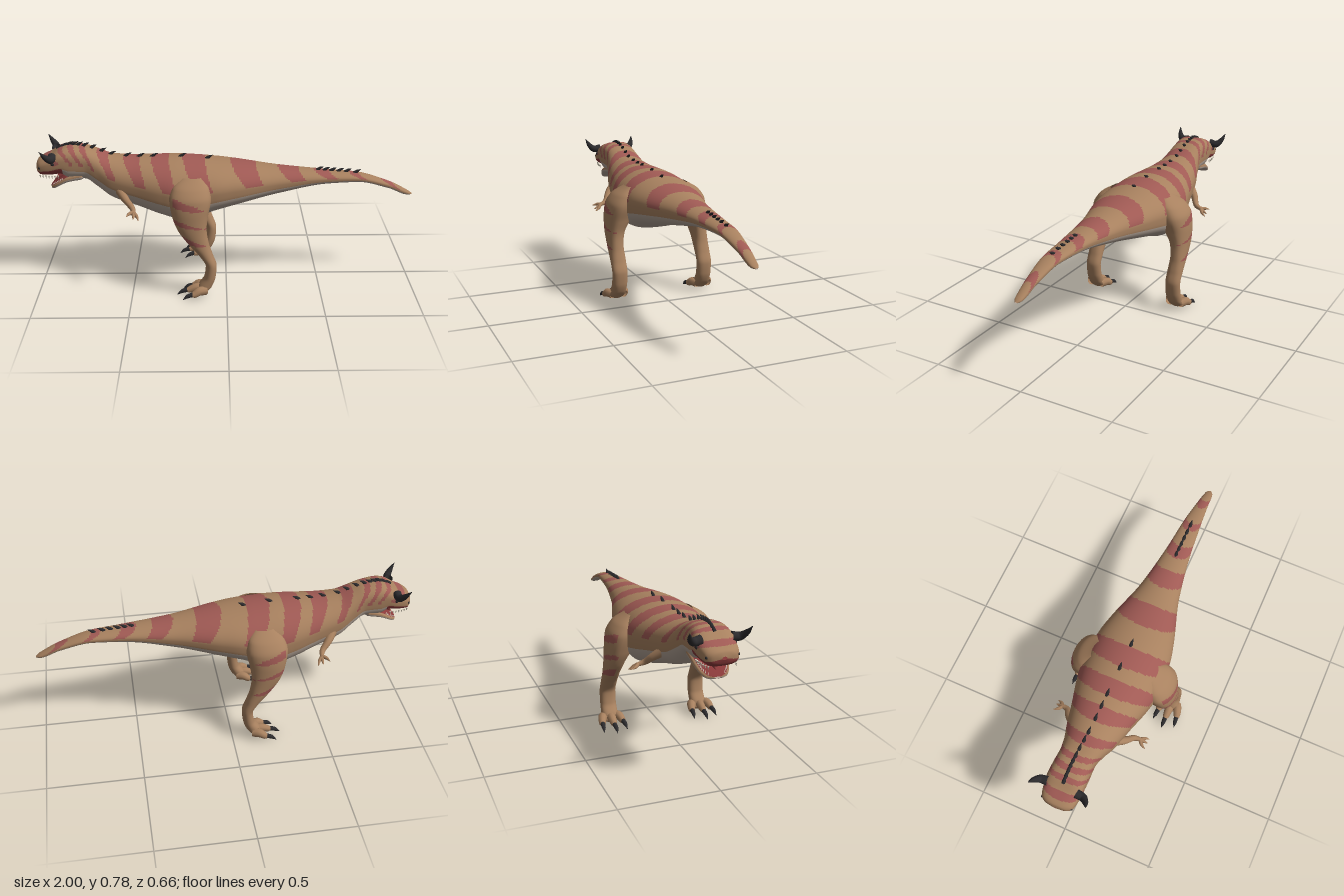
import * as THREE from 'three';

const mat = (color) => new THREE.MeshStandardMaterial({ color, roughness: 0.8, side: THREE.DoubleSide });
const MATS = {
  hide: mat(0xa8815f), belly: mat(0xb3a396), stripes: mat(0xa05a54),
  mouth: mat(0x8a3a3a), horn: mat(0x2c2b2d), teeth: mat(0xe0d8c4),
};

// Monotone interpolation through table rows [key, a, b, ...]
function sample(table, key) {
  let i = 0;
  while (i < table.length - 2 && key > table[i + 1][0]) i++;
  const slope = (k, c) => (table[k + 1][c] - table[k][c]) / (table[k + 1][0] - table[k][0]);
  const tangent = (k, c) => {
    if (k === 0) return slope(0, c);
    if (k === table.length - 1) return slope(k - 1, c);
    const p = slope(k - 1, c), q = slope(k, c);
    return p * q <= 0 ? 0 : (2 * p * q) / (p + q);
  };
  const h = table[i + 1][0] - table[i][0];
  const t = Math.min(1, Math.max(0, (key - table[i][0]) / h)), t2 = t * t, t3 = t2 * t;
  return table[i].slice(1).map((v, n) => {
    const c = n + 1;
    return (2 * t3 - 3 * t2 + 1) * v + (t3 - 2 * t2 + t) * h * tangent(i, c)
      + (3 * t2 - 2 * t3) * table[i + 1][c] + (t3 - t2) * h * tangent(i + 1, c);
  });
}

// Closed skin over rings; each face goes to the colour zone the rule picks
function loft(name, rows, cols, point, zone) {
  const pos = [], index = [], zones = {};
  for (let i = 0; i <= rows; i++)
    for (let j = 0; j < cols; j++) pos.push(...point(i / rows, (j / cols) * Math.PI * 2));
  for (let i = 0; i < rows; i++) {
    for (let j = 0; j < cols; j++) {
      const a = i * cols + j, b = i * cols + ((j + 1) % cols), c = a + cols, d = b + cols;
      const faces = [a, c, b, b, c, d];
      index.push(...faces);
      const mid = [0, 1, 2].map((k) => (pos[a * 3 + k] + pos[b * 3 + k] + pos[c * 3 + k] + pos[d * 3 + k]) / 4);
      const z = zone(mid, ((j + 0.5) / cols) * Math.PI * 2);
      (zones[z] ??= []).push(...faces);
    }
  }
  const full = new THREE.BufferGeometry();
  full.setAttribute('position', new THREE.Float32BufferAttribute(pos, 3));
  full.setIndex(index);
  full.computeVertexNormals();
  const group = new THREE.Group();
  group.name = name;
  for (const z in zones) {
    const g = full.clone();
    g.setIndex(zones[z]);
    group.add(named(new THREE.Mesh(g, MATS[z]), name + ' ' + z));
  }
  return group;
}

function named(obj, name) { obj.name = name; return obj; }

// Tube along points whose radius follows a list
function taper(name, points, radii, material, sides = 10) {
  const n = 16, curve = new THREE.CatmullRomCurve3(points.map((p) => new THREE.Vector3(...p)));
  const g = new THREE.TubeGeometry(curve, n, 1, sides);
  const P = g.attributes.position, N = g.attributes.normal;
  for (let k = 0; k < P.count; k++) {
    const t = Math.floor(k / (sides + 1)) / n, c = curve.getPointAt(t);
    const f = t * (radii.length - 1), i = Math.min(radii.length - 2, Math.floor(f));
    const r = radii[i] + (radii[i + 1] - radii[i]) * (f - i);
    P.setXYZ(k, c.x + r * N.getX(k), c.y + r * N.getY(k), c.z + r * N.getZ(k));
  }
  g.computeBoundingSphere();
  return named(new THREE.Mesh(g, material), name);
}

// x, top, bottom, half width, squareness of the upper half
const BODY = [
  [-1, 0.66, 0.645, 0.012, 2], [-0.993, 0.68, 0.622, 0.055, 2.4], [-0.97, 0.695, 0.608, 0.083, 2.8],
  [-0.92, 0.718, 0.608, 0.094, 3], [-0.87, 0.748, 0.612, 0.098, 3], [-0.82, 0.76, 0.585, 0.097, 3],
  [-0.74, 0.75, 0.582, 0.094, 2.8], [-0.68, 0.73, 0.542, 0.105, 2.4], [-0.6, 0.703, 0.485, 0.132, 2],
  [-0.47, 0.692, 0.442, 0.165, 2], [-0.34, 0.692, 0.397, 0.2, 2], [-0.27, 0.692, 0.38, 0.212, 2],
  [-0.15, 0.685, 0.388, 0.213, 2], [-0.06, 0.676, 0.42, 0.205, 2], [0.04, 0.665, 0.446, 0.182, 2],
  [0.28, 0.633, 0.5, 0.11, 2], [0.54, 0.608, 0.545, 0.066, 2], [0.7, 0.594, 0.55, 0.05, 2],
  [0.87, 0.545, 0.51, 0.032, 2], [0.98, 0.49, 0.47, 0.02, 2], [1, 0.476, 0.47, 0.006, 2],
];
const JAW = [
  [-0.93, 0.54, 0.532, 0.015, 3], [-0.92, 0.55, 0.527, 0.05, 3], [-0.88, 0.58, 0.547, 0.078, 3],
  [-0.83, 0.612, 0.57, 0.088, 3], [-0.76, 0.63, 0.582, 0.085, 3], [-0.73, 0.61, 0.6, 0.03, 3],
];
// y, front x, back x, inner z, outer z
const LEG = [
  [0.015, -0.14, -0.115, 0.235, 0.275], [0.03, -0.16, -0.1, 0.21, 0.3], [0.06, -0.15, -0.075, 0.21, 0.297],
  [0.11, -0.118, -0.058, 0.21, 0.295], [0.17, -0.11, -0.053, 0.21, 0.295], [0.235, -0.145, -0.073, 0.21, 0.295],
  [0.3, -0.2, -0.093, 0.21, 0.295], [0.38, -0.256, -0.104, 0.195, 0.296], [0.45, -0.283, -0.095, 0.16, 0.295],
  [0.53, -0.296, -0.08, 0.13, 0.285], [0.585, -0.28, -0.09, 0.12, 0.25], [0.63, -0.23, -0.13, 0.13, 0.18],
];
// Bands across the back: centre, half width
const STRIPES = [
  [-0.945, 0.02], [-0.87, 0.013], [-0.815, 0.016], [-0.755, 0.016], [-0.65, 0.03], [-0.5, 0.042],
  [-0.35, 0.048], [-0.17, 0.06], [0.09, 0.066], [0.33, 0.055], [0.51, 0.04], [0.68, 0.025], [0.86, 0.03],
];

const power = (v, e) => Math.sign(v) * Math.pow(Math.abs(v), e);
const section = (table, x, a) => {
  const [top, bottom, w, n] = sample(table, x);
  const e = 2 / (Math.sin(a) > 0 ? n : 2.8);
  return [x, (top + bottom) / 2 + ((top - bottom) / 2) * power(Math.sin(a), e), w * power(Math.cos(a), e)];
};

function bodyZone([x, y], a) {
  if (Math.sin(a) < -0.2) return x < -0.855 ? 'mouth' : 'belly';
  const [top, bottom] = sample(BODY, x), d = (top - y) / (top - bottom);
  const hit = STRIPES.some(([c, w]) => Math.abs(x - c - 0.13 * d) < w * (1 - 0.7 * d));
  return d < 0.46 && hit ? 'stripes' : 'hide';
}

function legZone(s) {
  return ([x, y, z]) => {
    const rise = y + 0.25 * (x + 0.2);
    const hit = [[0.51, 0.022], [0.41, 0.013], [0.32, 0.022]].some(([c, w]) => Math.abs(rise - c) < w * Math.min(1, (-0.1 - x) * 9));
    return s * z > 0.255 && hit ? 'stripes' : 'hide';
  };
}

function buildLeg(s) {
  const g = named(new THREE.Group(), s > 0 ? 'leftLeg' : 'rightLeg');
  g.add(loft('legSkin', 90, 32, (u, a) => {
    const y = 0.015 + 0.615 * u, [f, b, zi, zo] = sample(LEG, y);
    const x = (f + b) / 2 + ((b - f) / 2) * Math.cos(a);
    return [x, y, s * (zi + zo) / 2 + ((zo - zi) / 2) * power(Math.sin(a), 0.8)];
  }, legZone(s)));
  // three splayed toes with claws
  for (const k of [-1, 0, 1]) {
    const x = k ? 0.03 : 0, z = (d) => s * (0.255 + k * d);
    g.add(taper('toe', [[-0.11, 0.042, z(0.03)], [-0.16 + x / 2, 0.044, z(0.047)], [-0.2 + x, 0.03, z(0.055)], [-0.228 + x, 0.02, z(0.058)]],
      [0.024, 0.025, 0.022, 0.017, 0], MATS.hide));
    g.add(taper('claw', [[-0.208 + x, 0.03, z(0.056)], [-0.236 + x, 0.022, z(0.06)], [-0.262 + x, 0.002, z(0.064)]],
      [0.013, 0.011, 0.001], MATS.horn, 8));
  }
  return g;
}

function buildArm(s) {
  const g = named(new THREE.Group(), s > 0 ? 'leftArm' : 'rightArm');
  g.add(taper('arm', [[-0.56, 0.55, s * 0.115], [-0.525, 0.51, s * 0.16], [-0.49, 0.475, s * 0.19], [-0.478, 0.46, s * 0.232]],
    [0.026, 0.023, 0.018, 0.015, 0.008], MATS.hide));
  for (const [dx, dy] of [[-0.035, 0], [0, -0.015], [0.025, -0.022]])
    g.add(taper('finger', [[-0.482, 0.465, s * 0.22], [-0.48 + dx * 0.7, 0.46 + dy * 0.6, s * 0.24], [-0.48 + dx, 0.455 + dy, s * 0.26]],
      [0.01, 0.009, 0.002], MATS.hide, 8));
  return g;
}

function buildFace(s) {
  const g = named(new THREE.Group(), s > 0 ? 'leftFace' : 'rightFace');
  g.add(taper('horn', [[-0.905, 0.715, s * 0.075], [-0.91, 0.712, s * 0.112], [-0.93, 0.733, s * 0.135], [-0.957, 0.769, s * 0.15]],
    [0.024, 0.02, 0.013, 0.001], MATS.horn, 12));
  const ball = (name, x, y, z, r, m) => {
    const b = named(new THREE.Mesh(new THREE.SphereGeometry(r, 14, 10), m), name);
    b.position.set(x, y, s * z);
    g.add(b);
  };
  ball('eye', -0.903, 0.682, 0.092, 0.01, MATS.horn);
  ball('nostril', -0.975, 0.655, 0.077, 0.007, MATS.horn);
  // teeth along both jaws
  for (let i = 0; i < 7; i++) {
    const x = -0.975 + i * 0.016;
    const upper = named(new THREE.Mesh(new THREE.ConeGeometry(0.005, 0.018, 6), MATS.teeth), 'upperTooth');
    upper.position.set(x, 0.606, s * (sample(BODY, x)[2] - 0.013));
    upper.rotation.x = Math.PI;
    const lx = -0.916 + i * 0.009, [top, , w] = sample(JAW, lx);
    const lower = named(new THREE.Mesh(new THREE.ConeGeometry(0.004, 0.016, 6), MATS.teeth), 'lowerTooth');
    lower.position.set(lx, top, s * (w - 0.014));
    g.add(upper, lower);
  }
  return g;
}

export function createModel() {
  const model = named(new THREE.Group(), 'hornedDinosaur');
  model.add(loft('body', 260, 56, (u, a) => section(BODY, -1 + 2 * Math.pow(u, 1.25), a), bodyZone));
  model.add(loft('lowerJaw', 30, 32, (u, a) => section(JAW, -0.93 + 0.2 * u, a),
    (p, a) => (Math.sin(a) > 0.5 ? 'mouth' : Math.sin(a) > 0 ? 'hide' : 'belly')));
  model.add(taper('tongue', [[-0.84, 0.612, 0], [-0.875, 0.59, 0], [-0.908, 0.566, 0]], [0.022, 0.02, 0.002], MATS.mouth));
  for (const s of [1, -1]) model.add(buildLeg(s), buildArm(s), buildFace(s));

  // back-swept spines along the neck, back and tail
  const spines = named(new THREE.Group(), 'spines');
  for (const x of [-0.88, -0.855, -0.83, -0.805, -0.78, -0.75, -0.71, -0.66, -0.61, -0.53, -0.46, -0.39, -0.24, -0.1, 0.49, 0.525, 0.56, 0.6, 0.64, 0.69]) {
    const y = sample(BODY, x)[0];
    spines.add(taper('spine', [[x - 0.008, y - 0.008, 0], [x + 0.008, y + 0.006, 0], [x + 0.03, y + 0.017, 0]], [0.011, 0.008, 0.001], MATS.horn, 6));
  }
  model.add(spines);
  return model;
}
